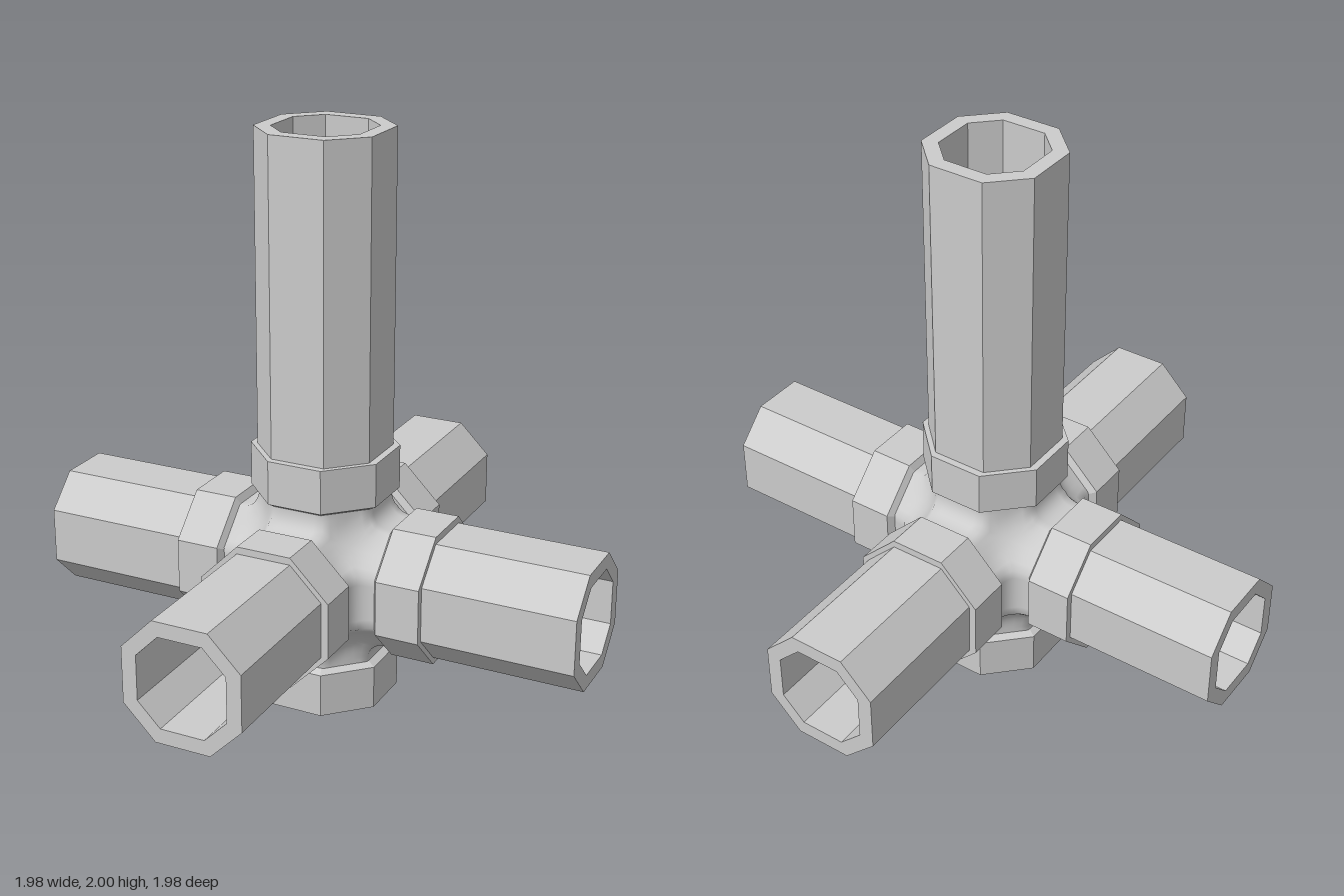
import * as THREE from 'three';
import { mergeVertices, mergeGeometries } from 'three/addons/utils/BufferGeometryUtils.js';

const CENTRE = 0.455; // height of the crossing
const UP = new THREE.Vector3(0, 1, 0);
const AXES = [[0, 1, 0], [0, -1, 0], [1, 0, 0], [-1, 0, 0], [0, 0, 1], [0, 0, -1]]
  .map(a => new THREE.Vector3(...a));

// Octagon with half width a and half flat f, each side split n times
function octagon(a, f, n = 1) {
  const c = [[a, -f], [a, f], [f, a], [-f, a], [-a, f], [-a, -f], [-f, -a], [f, -a]];
  const out = [];
  c.forEach((p, i) => {
    const q = c[(i + 1) % 8];
    for (let s = 0; s < n; s++) {
      out.push([p[0] + (q[0] - p[0]) * s / n, p[1] + (q[1] - p[1]) * s / n]);
    }
  });
  return out;
}

// Skin a list of closed rings of points; rings going up face outwards
function skin(rings) {
  const n = rings[0].length, index = [];
  for (let i = 0; i < rings.length - 1; i++) {
    for (let j = 0; j < n; j++) {
      const a = i * n + j, b = i * n + (j + 1) % n;
      index.push(a, a + n, b, b, a + n, b + n);
    }
  }
  const g = new THREE.BufferGeometry().setFromPoints(rings.flat());
  g.setIndex(index);
  g.computeVertexNormals();
  return g;
}

// Octagonal sleeve along +y from a profile of [half width, half flat, y]
const sleeve = profile => skin(profile.map(([a, f, y]) =>
  octagon(a, f).map(([x, z]) => new THREE.Vector3(x, y, z))));

// Six crossing octagonal tubes, blended over distance k where they meet
function crossing(a, f, k, end, inward) {
  const tube = (u, v) => {
    u = Math.abs(u); v = Math.abs(v);
    return Math.max(u, v, (u + v) * a / (a + f)) - a;
  };
  const blend = (p, q) => {
    const h = Math.max(k - Math.abs(p - q), 0);
    return Math.min(p, q) - h * h / (4 * k);
  };
  const field = p => {
    const d = [tube(p.y, p.z), tube(p.x, p.z), tube(p.x, p.y)].sort((m, n) => m - n);
    return blend(blend(d[0], d[1]), d[2]);
  };
  const rows = [];
  for (let i = 0; i <= 10; i++) {
    rows.push(octagon(a, f, 6).map(([x, z]) => {
      // start on the mitre line, then push out along the ray to the blended surface
      const mitre = Math.max(Math.abs(x), Math.abs(z));
      const p = new THREE.Vector3(x, mitre + (end - mitre) * i / 10, z);
      let lo = 1, hi = 1.5;
      for (let s = 0; s < 24; s++) {
        const mid = (lo + hi) / 2;
        if (field(p.clone().multiplyScalar(mid)) < 0) lo = mid; else hi = mid;
      }
      return p.multiplyScalar(lo);
    }));
  }
  const branch = skin(inward ? rows.reverse() : rows);
  branch.deleteAttribute('normal');
  const all = mergeGeometries(AXES.map(d =>
    branch.clone().applyQuaternion(new THREE.Quaternion().setFromUnitVectors(UP, d))));
  const g = mergeVertices(all, 1e-4);
  g.computeVertexNormals();
  return g;
}

export function createModel() {
  const model = new THREE.Group();
  model.name = 'sixWayPipeJunction';
  const flat = new THREE.MeshStandardMaterial({ color: 0xcccccc, flatShading: true });
  const smooth = new THREE.MeshStandardMaterial({ color: 0xcccccc });
  const add = (name, geometry, material, dir = UP) => {
    const mesh = new THREE.Mesh(geometry, material);
    mesh.name = name;
    mesh.quaternion.setFromUnitVectors(UP, dir);
    mesh.position.y = CENTRE;
    model.add(mesh);
  };

  // Hub with filleted outside and sharp hollow bore
  add('hub', crossing(0.208, 0.092, 0.08, 0.31, false), smooth);
  add('hubBore', crossing(0.158, 0.078, 1e-6, 0.3, true), flat);

  // Collar with bevelled back edge, rim, socket wall and ledge
  const collar = sleeve([
    [0.21, 0.087, 0.285], [0.235, 0.0975, 0.3], [0.235, 0.0975, 0.455],
    [0.2, 0.083, 0.455], [0.2, 0.083, 0.3], [0.158, 0.078, 0.3],
  ]);
  // Hollow pipe: outside, end rim, inside
  const pipe = length => sleeve([
    [0.21, 0.0975, 0.3], [0.21, 0.0975, length], [0.158, 0.078, length], [0.158, 0.078, 0.3],
  ]);

  const names = ['top', 'bottom', 'left', 'right', 'front', 'back'];
  AXES.forEach((dir, i) => {
    add(names[i] + 'Collar', collar, flat, dir);
    // the bottom socket stays empty, the top pipe is longest
    if (i !== 1) add(names[i] + 'Pipe', pipe(i === 0 ? 2 - CENTRE : 0.988), flat, dir);
  });
  return model;
}
